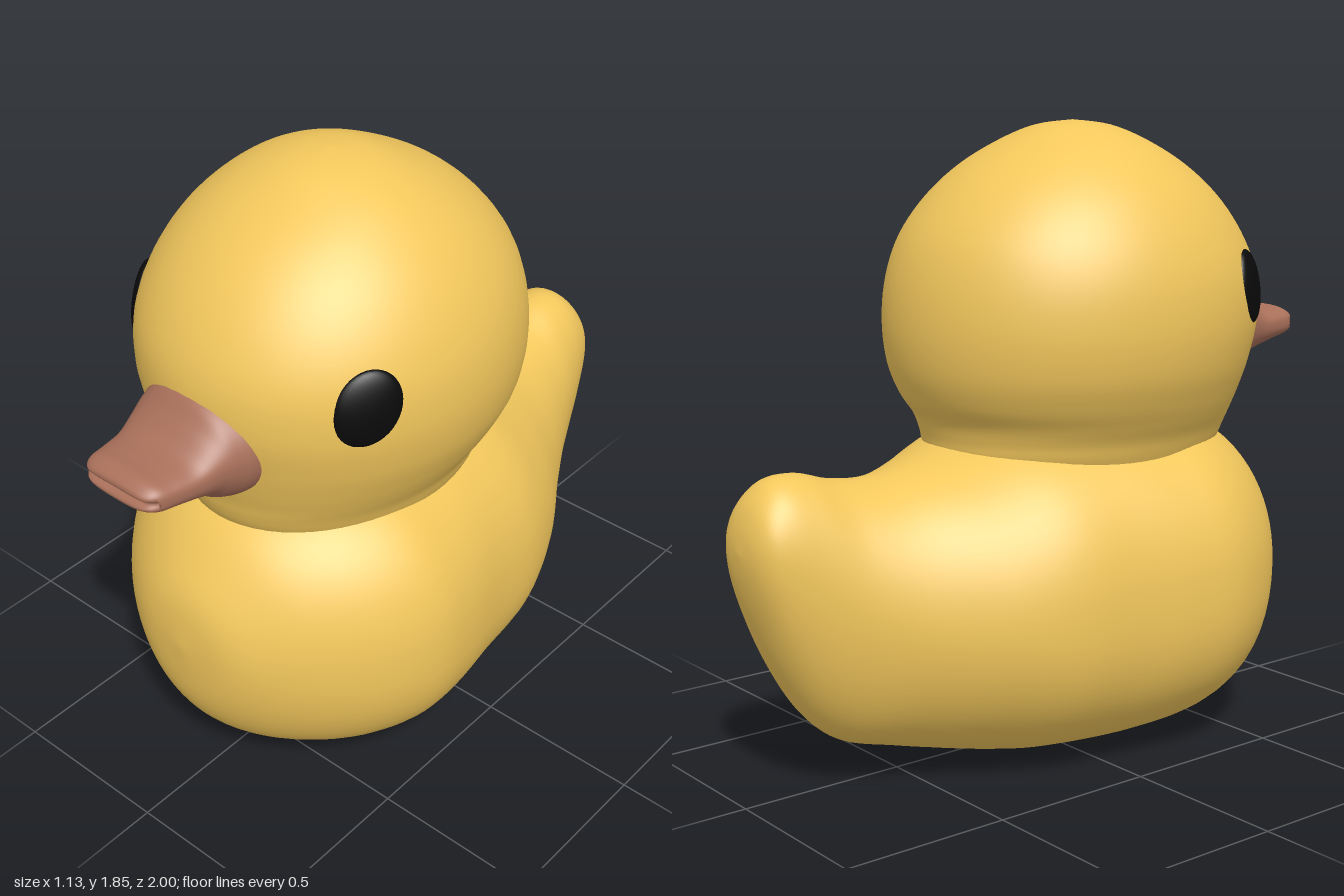
import * as THREE from 'three';
import { mergeVertices } from 'three/addons/utils/BufferGeometryUtils.js';

const YELLOW = 0xf2c75c, BEAK = 0xa9705a, BLACK = 0x0a0a0a;

// Smooth skin over superelliptic sections.
// Row: [position on axis, half width in x, low, high, height of widest point, exponent]
function loft(rows, axis, steps = 5, sides = 64) {
  const spline = (a, b) => new THREE.SplineCurve(rows.map(r => new THREE.Vector2(r[a], r[b])));
  const curves = [spline(0, 1), spline(2, 3), spline(4, 5)];
  const count = (rows.length - 1) * steps;
  const positions = [], index = [];
  const power = (v, n) => Math.sign(v) * Math.pow(Math.abs(v), 2 / n);
  for (let i = 0; i <= count; i++) {
    const [p, span, shape] = curves.map(c => c.getPoint(i / count));
    for (let j = 0; j < sides; j++) {
      const a = (j / sides) * Math.PI * 2;
      const x = Math.max(p.y, 0) * power(Math.cos(a), shape.y);
      const s = power(Math.sin(a), shape.y);
      const v = shape.x + s * (s > 0 ? span.y - shape.x : shape.x - span.x);
      if (axis === 'z') positions.push(x, v, p.x);
      else positions.push(-x, p.x, v);
      if (i < count) {
        const k = (j + 1) % sides, r = i * sides;
        index.push(r + j, r + k, r + sides + k, r + j, r + sides + k, r + sides + j);
      }
    }
  }
  let geometry = new THREE.BufferGeometry();
  geometry.setAttribute('position', new THREE.Float32BufferAttribute(positions, 3));
  geometry.setIndex(index);
  geometry = mergeVertices(geometry, 1e-5);
  geometry.computeVertexNormals();
  return geometry;
}

function part(name, geometry, color) {
  const mesh = new THREE.Mesh(geometry, new THREE.MeshStandardMaterial({ color }));
  mesh.name = name;
  return mesh;
}

export function createModel() {
  const model = new THREE.Group();
  model.name = 'toyDuck';

  // Body with upturned tail, from tail tip to breast
  model.add(part('bodyAndTail', loft([
    [-1.0, 0, 0.72, 0.72, 0.72, 2],
    [-0.99, 0.075, 0.64, 0.79, 0.72, 2.1],
    [-0.96, 0.125, 0.53, 0.86, 0.71, 2.1],
    [-0.9, 0.155, 0.38, 0.91, 0.67, 2.1],
    [-0.81, 0.19, 0.23, 0.915, 0.6, 2],
    [-0.7, 0.24, 0.135, 0.885, 0.53, 1.9],
    [-0.55, 0.325, 0.09, 0.875, 0.48, 1.9],
    [-0.38, 0.43, 0.05, 0.91, 0.47, 2],
    [-0.2, 0.5, 0.02, 0.97, 0.47, 2.2],
    [0, 0.525, 0.005, 1.0, 0.48, 2.3],
    [0.18, 0.557, 0.005, 1.0, 0.49, 2.3],
    [0.34, 0.562, 0.02, 1.0, 0.5, 2.3],
    [0.5, 0.5, 0.05, 0.97, 0.5, 2.2],
    [0.64, 0.39, 0.115, 0.9, 0.51, 2.1],
    [0.74, 0.27, 0.21, 0.79, 0.52, 2],
    [0.8, 0.15, 0.34, 0.68, 0.53, 2],
    [0.82, 0, 0.53, 0.53, 0.53, 2],
  ], 'z'), YELLOW));

  // Head and neck, from the neck up; low and high are the back and front
  const headRows = [
    [0.82, 0.35, -0.27, 0.59], [0.9, 0.385, -0.32, 0.64], [0.95, 0.405, -0.33, 0.66],
    [1.0, 0.435, -0.345, 0.672], [1.06, 0.468, -0.385, 0.69], [1.15, 0.505, -0.418, 0.713],
    [1.27, 0.525, -0.43, 0.737], [1.4, 0.517, -0.415, 0.73], [1.52, 0.478, -0.372, 0.68],
    [1.63, 0.412, -0.29, 0.598], [1.72, 0.325, -0.185, 0.495], [1.79, 0.225, -0.06, 0.375],
    [1.835, 0.11, 0.045, 0.27], [1.85, 0, 0.157, 0.157],
  ].map(r => [...r, (r[2] + r[3]) / 2, 2]);
  model.add(part('head', loft(headRows, 'y'), YELLOW));

  // Beak, flaring onto the face, with a mouth groove pressed into the tip
  const beak = loft([
    [0.5, 0.21, 1.04, 1.36, 1.21, 2],
    [0.66, 0.21, 1.03, 1.37, 1.21, 2],
    [0.73, 0.19, 1.045, 1.36, 1.21, 2],
    [0.78, 0.174, 1.085, 1.31, 1.21, 2.1],
    [0.84, 0.158, 1.115, 1.262, 1.2, 2.3],
    [0.91, 0.145, 1.138, 1.252, 1.2, 2.6],
    [0.96, 0.135, 1.152, 1.252, 1.2, 2.8],
    [0.99, 0.115, 1.167, 1.238, 1.2, 2.8],
    [1.0, 0.08, 1.18, 1.225, 1.2, 2.8],
    [1.0, 0, 1.2, 1.2, 1.2, 2.8],
  ], 'z', 6);
  const p = beak.attributes.position;
  for (let i = 0; i < p.count; i++) {
    const depth = Math.exp(-(((p.getY(i) - 1.2) / 0.01) ** 2));
    if (p.getZ(i) > 0.97) p.setZ(i, p.getZ(i) - 0.02 * depth);
  }
  beak.computeVertexNormals();
  model.add(part('beak', beak, BEAK));

  // Eyes: flattened ovals lying on the head, tops leaning back
  for (const side of [1, -1]) {
    const eye = part(side > 0 ? 'leftEye' : 'rightEye', new THREE.SphereGeometry(1, 32, 20), BLACK);
    eye.scale.set(0.093, 0.112, 0.03);
    eye.position.set(side * 0.41, 1.37, 0.487);
    eye.lookAt(side * 1.9, 1.57, 1.487);
    eye.rotateZ(-side * 0.4);
    model.add(eye);
  }
  return model;
}
